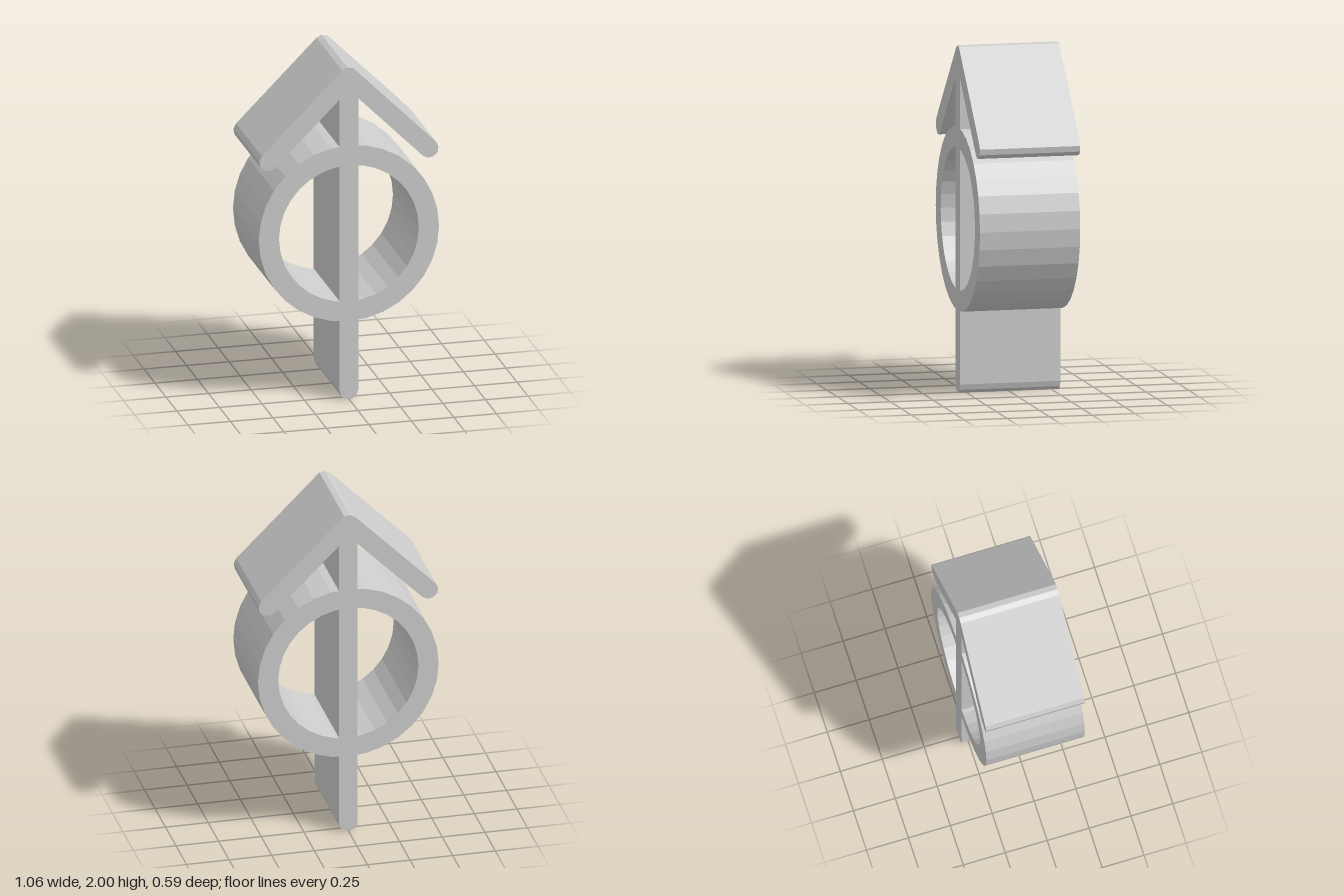
import * as THREE from 'three';

const DEPTH = 0.588; // front-to-back thickness of every part
const R = 0.055;     // half the stroke width

// Points on an arc, angles in degrees
function arc(cx, cy, r, from, to, steps) {
  return Array.from({ length: steps + 1 }, (_, i) => {
    const a = THREE.MathUtils.degToRad(from + ((to - from) * i) / steps);
    return new THREE.Vector2(cx + r * Math.cos(a), cy + r * Math.sin(a));
  });
}

export function createModel() {
  const group = new THREE.Group();
  const grey = new THREE.MeshStandardMaterial({ color: 0xcccccc });
  grey.name = 'light grey';

  function addPart(name, points) {
    const geometry = new THREE.ExtrudeGeometry(new THREE.Shape(points), {
      depth: DEPTH, bevelEnabled: false,
    });
    geometry.translate(0, 0, -DEPTH / 2);
    const mesh = new THREE.Mesh(geometry, grey);
    mesh.name = name;
    group.add(mesh);
  }

  // Upright shaft with a rounded foot, and the arrowhead on top of it
  const armX = 0.473, armY = 1.47, under = 1.865 - R;
  addPart('arrow', [
    ...arc(0, 0.0525, R, 180, 360, 5),
    new THREE.Vector2(R, under),
    ...arc(armX, armY, R, -135, 45, 5),
    ...arc(0, 1.9455, R, 63, 135, 2),
    ...arc(-armX, armY, R, 135, 315, 5),
    new THREE.Vector2(-R, under),
  ]);

  // Ring of 32 facets, as two halves meeting the shaft
  const outer = 0.53, inner = 0.411, last = 78.75;
  const endY = (r) => {
    const [a, b] = arc(0, 0, r, last, 90, 1);
    return THREE.MathUtils.lerp(b.y, a.y, R / a.x);
  };
  for (const side of [1, -1]) {
    const half = [
      new THREE.Vector2(R, 1 - endY(outer)),
      ...arc(0, 1, outer, -last, last, 14),
      new THREE.Vector2(R, 1 + endY(outer)),
      new THREE.Vector2(R, 1 + endY(inner)),
      ...arc(0, 1, inner, last, -last, 14),
      new THREE.Vector2(R, 1 - endY(inner)),
    ];
    half.forEach((p) => { p.x *= side; });
    addPart(side > 0 ? 'leftHalfRing' : 'rightHalfRing', half);
  }
  return group;
}
